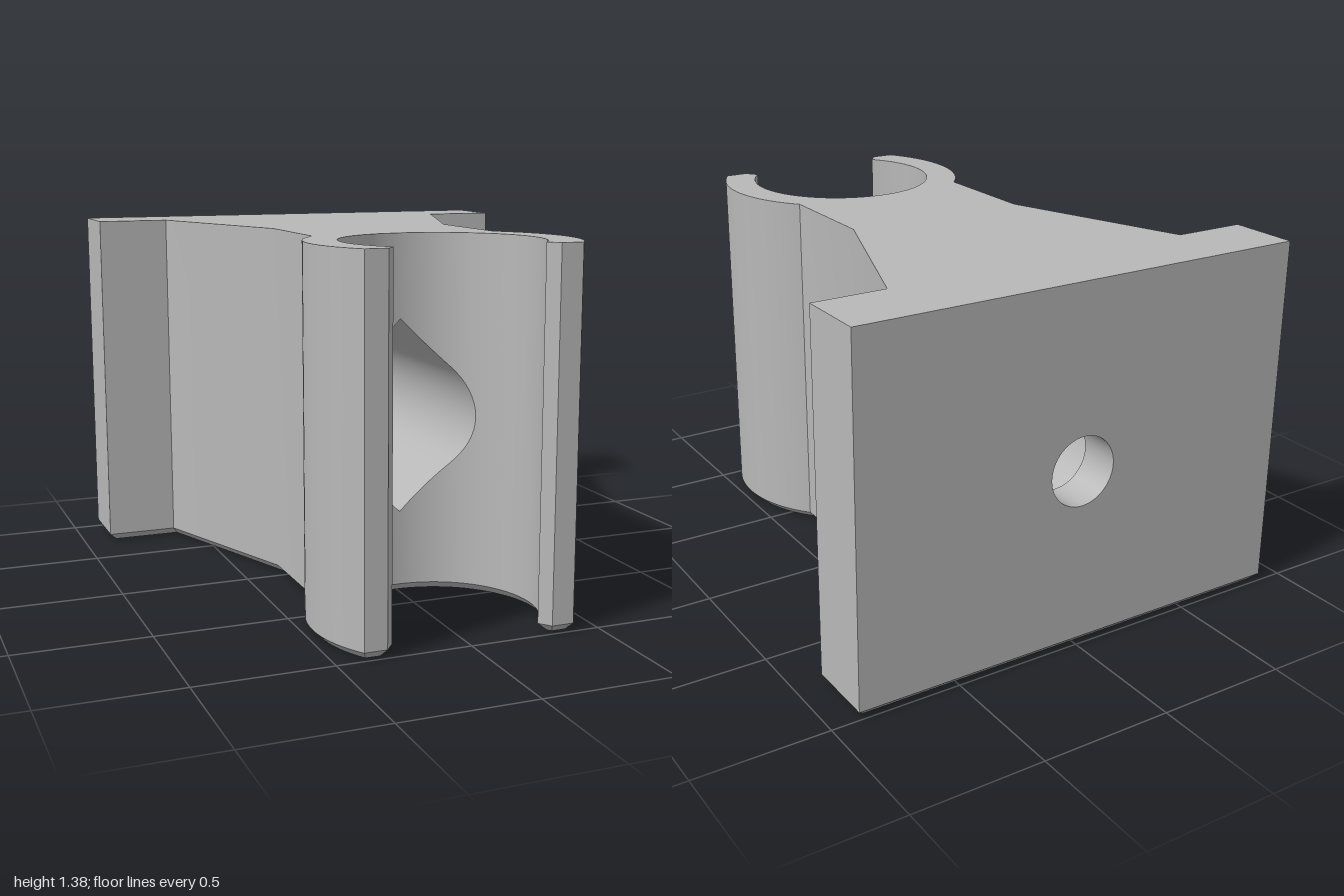
import * as THREE from 'three';
import { toCreasedNormals } from 'three/addons/utils/BufferGeometryUtils.js';

const TOP = 1.38, CH = 0.03;                 // height and bottom chamfer
const BORE = 0.363, CLIP = 0.485, CZ = 0.725; // clip ring radii and centre
const HY = 0.69, PR = 0.2625;                // screw axis height, pocket radius
const HEAD = 0.24, HOLE = 0.132, SEAT = -0.73, NECK = -0.84, BACK = -1;

// Strip of quads between two polylines; faces outward for lo below hi, running clockwise seen from above
function band(out, lo, hi, closed = false) {
  const n = lo.length;
  for (let i = 0; i < (closed ? n : n - 1); i++) {
    const j = (i + 1) % n;
    out.push(...lo[i], ...hi[i], ...hi[j], ...lo[i], ...hi[j], ...lo[j]);
  }
}

function toGeometry(positions) {
  const g = new THREE.BufferGeometry();
  g.setAttribute('position', new THREE.Float32BufferAttribute(positions, 3));
  return toCreasedNormals(g, 0.5);
}

const shapeOf = (pts) => new THREE.Shape(pts.map(([x, y]) => new THREE.Vector2(x, y)));
const circle = (r, y = HY, n = 48) => Array.from({ length: n }, (_, i) => {
  const a = (i / n) * Math.PI * 2;
  return [r * Math.cos(a), y + r * Math.sin(a)];
});

// Columns across the pocket mouth: x and half height (circle with pointed top and bottom)
const COLS = Array.from({ length: 33 }, (_, i) => {
  const t = (i / 32) * Math.PI, x = PR * Math.cos(t);
  const h = i >= 8 && i <= 24 ? PR * Math.SQRT2 - Math.abs(x) : PR * Math.sin(t);
  return { x, h, z: CZ - Math.sqrt(BORE * BORE - x * x) };
});

// Plan outline as [x, z]; right half up to the pocket, pocket columns, mirrored half
function makeOutline() {
  const half = [[0.895, BACK], [0.895, SEAT], [0.615, SEAT], [0.36, -0.04]];
  const a0 = Math.atan2(0.36, 0.325), a1 = Math.PI - Math.atan2(0.4, 0.275);
  for (let i = 0; i <= 24; i++) {
    const a = a0 + (a1 - a0) * i / 24;
    half.push([CLIP * Math.sin(a), CZ - CLIP * Math.cos(a)]);
  }
  half.push([0.315, 1]);
  const b0 = Math.atan2(0.28, -0.23), b1 = Math.asin(PR / BORE);
  for (let i = 0; i < 24; i++) {
    const b = b0 + (b1 - b0) * i / 24;
    half.push([BORE * Math.sin(b), CZ - BORE * Math.cos(b)]);
  }
  const mirrored = half.map(([x, z]) => [-x, z]).reverse();
  return { half, mirrored, all: [...half, ...COLS.map((c) => [c.x, c.z]), ...mirrored] };
}

// Moves every outline edge inward by d
function inset(pts, d) {
  const normal = (a, b) => {
    const dx = b[0] - a[0], dz = b[1] - a[1], l = Math.hypot(dx, dz);
    return [dz / l, -dx / l];
  };
  return pts.map((p, i) => {
    const n = normal(pts[(i + pts.length - 1) % pts.length], p);
    const m = normal(p, pts[(i + 1) % pts.length]);
    const k = d / (1 + n[0] * m[0] + n[1] * m[1]);
    return [p[0] - (n[0] + m[0]) * k, p[1] - (n[1] + m[1]) * k];
  });
}

export function createModel() {
  const group = new THREE.Group();
  const grey = new THREE.MeshStandardMaterial({ color: 0xb8b8b8 });
  grey.name = 'grey plastic';
  const add = (name, geometry) => {
    const mesh = new THREE.Mesh(geometry, grey);
    mesh.name = name;
    group.add(mesh);
    return mesh;
  };

  const { half, mirrored, all } = makeOutline();
  const low = inset(all, CH);
  const at = (pts, y) => pts.map(([x, z]) => [x, y, z]);

  // Side walls, the bore wall above and below the pocket, and the bottom chamfer
  const walls = [];
  const first = [COLS[0].x, COLS[0].z], last = [-first[0], first[1]];
  for (const side of [[...half, first], [last, ...mirrored]]) band(walls, at(side, CH), at(side, TOP));
  const edge = (s) => COLS.map((c) => [c.x, HY + s * c.h, c.z]);
  const bore = COLS.map((c) => [c.x, c.z]);
  band(walls, at(bore, CH), edge(-1));
  band(walls, edge(1), at(bore, TOP));
  band(walls, at(low, 0), at(all, CH), true);
  add('bracketWalls', toGeometry(walls));

  // Top and bottom faces
  const top = new THREE.ShapeGeometry(shapeOf(all.map(([x, z]) => [x, -z])));
  add('topFace', top.rotateX(-Math.PI / 2).translate(0, TOP, 0));
  add('bottomFace', new THREE.ShapeGeometry(shapeOf(low)).rotateX(Math.PI / 2));

  // Back of the mounting plate with its screw hole
  const plate = shapeOf([[-0.895, CH], [0.895, CH], [0.895, TOP], [-0.895, TOP]]);
  plate.holes.push(shapeOf(circle(HOLE)));
  add('mountingFace', new THREE.ShapeGeometry(plate).rotateY(Math.PI).translate(0, 0, BACK));

  // Pocket for the screw head, from the bore to the plate
  const rim = [...COLS.map((c) => [c.x, HY + c.h, c.z]),
    ...COLS.slice(1, -1).reverse().map((c) => [c.x, HY - c.h, c.z])];
  const pocket = [];
  band(pocket, rim.map(([x, y]) => [x, y, SEAT]), rim, true);
  add('screwPocket', toGeometry(pocket));
  const floor = shapeOf(rim);
  floor.holes.push(shapeOf(circle(HEAD)));
  add('pocketFloor', new THREE.ShapeGeometry(floor).translate(0, 0, SEAT));

  // Countersink and through hole
  const ring = (r, z) => circle(r).map(([x, y]) => [x, y, z]);
  const sink = [], hole = [];
  band(sink, ring(HOLE, NECK), ring(HEAD, SEAT), true);
  band(hole, ring(HOLE, BACK), ring(HOLE, NECK), true);
  add('countersink', toGeometry(sink));
  add('screwHole', toGeometry(hole));
  return group;
}
